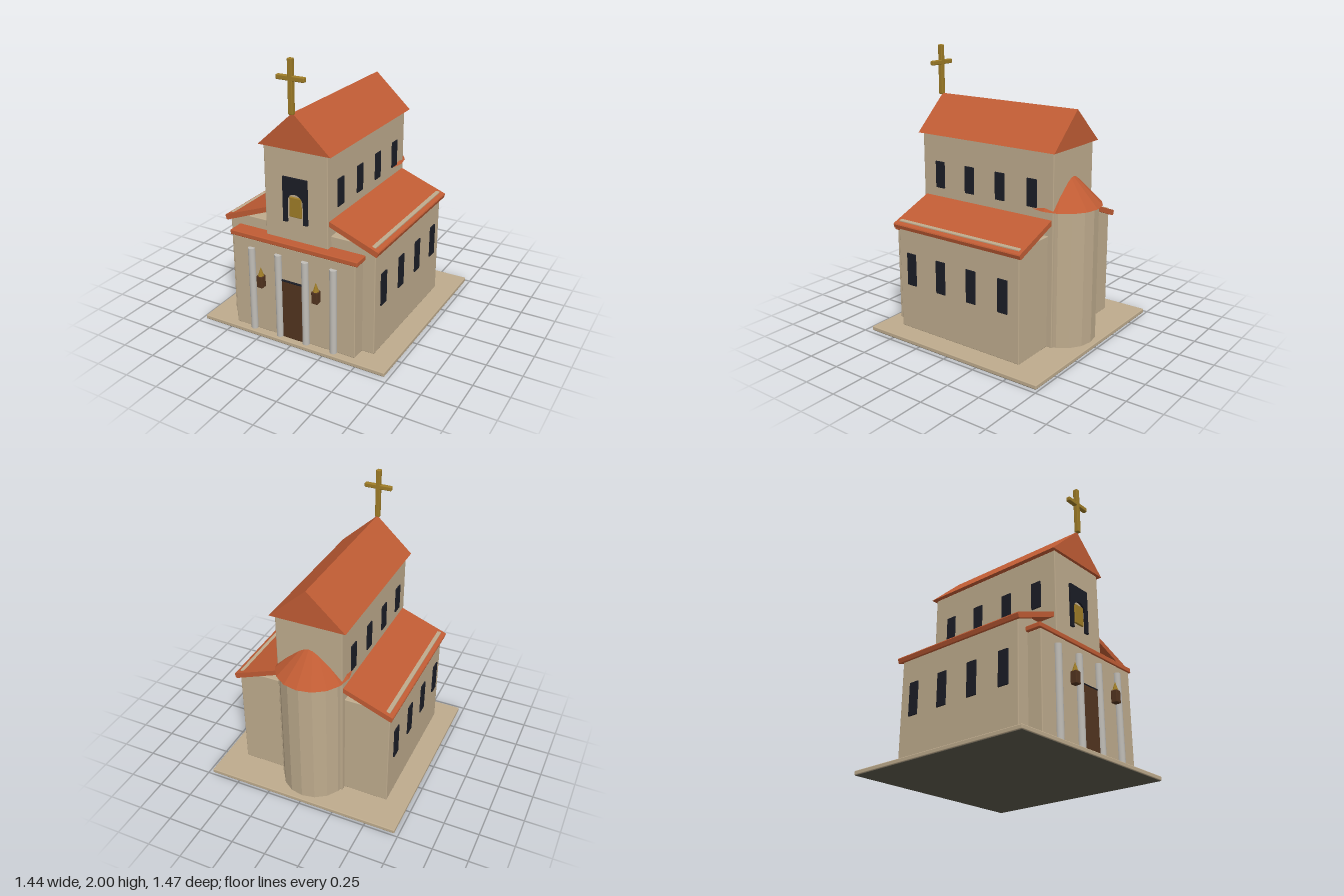
import * as THREE from 'three';
import { RoundedBoxGeometry } from 'three/addons/geometries/RoundedBoxGeometry.js';

const paint = (name, color) => {
  const m = new THREE.MeshStandardMaterial({ color });
  m.name = name;
  return m;
};

export function createModel() {
  const stone = paint('sandstone', 0xbeab8d);
  const shade = paint('darkEarth', 0x5a574a);
  const tile = paint('terracotta', 0xc05c34);
  const glass = paint('darkGlass', 0x1b1d26);
  const wood = paint('darkWood', 0x52341f);
  const gold = paint('oldGold', 0x9e7c27);
  const marble = paint('paleMarble', 0xc0bdb7);

  const model = new THREE.Group();
  model.name = 'church';

  const add = (name, geometry, material, x = 0, y = 0, z = 0) => {
    const mesh = new THREE.Mesh(geometry, material);
    mesh.name = name;
    mesh.position.set(x, y, z);
    model.add(mesh);
    return mesh;
  };
  // Softly bevelled box given by its extents on each axis
  const box = (name, material, x0, x1, y0, y1, z0, z1) => {
    const size = [x1 - x0, y1 - y0, z1 - z0];
    const radius = Math.min(0.006, 0.35 * Math.min(...size));
    return add(name, new RoundedBoxGeometry(...size, 2, radius), material,
      (x0 + x1) / 2, (y0 + y1) / 2, (z0 + z1) / 2);
  };
  // Outline in x and y, extruded from z0 to z1
  const prism = (name, material, points, z0, z1) => {
    const shape = new THREE.Shape(points.map(([x, y]) => new THREE.Vector2(x, y)));
    return add(name, new THREE.ExtrudeGeometry(shape, { depth: z1 - z0, bevelEnabled: false }),
      material, 0, 0, z0);
  };
  // Cylinder or cone, faceted when it has few sides
  const round = (name, material, rTop, rBottom, y0, y1, sides, x, z) => {
    let g = new THREE.CylinderGeometry(rTop, rBottom, y1 - y0, sides);
    if (sides <= 16) {
      g = g.toNonIndexed();
      g.computeVertexNormals();
    }
    return add(name, g, material, x, (y0 + y1) / 2, z);
  };

  // Ground slab with dark underside, and main volumes
  box('baseSlab', stone, -0.72, 0.72, 0.002, 0.032, -0.735, 0.705);
  add('baseUnderside', new THREE.BoxGeometry(1.43, 0.004, 1.43), shade, 0, 0.002, -0.015);
  box('aisleWalls', stone, -0.565, 0.565, 0.03, 0.832, -0.49, 0.547);
  box('naveWalls', stone, -0.24, 0.24, 0.03, 1.4, -0.53, 0.59);
  box('porchWalls', stone, -0.475, 0.475, 0.03, 0.72, 0.53, 0.652);

  // Roofs
  prism('naveRoof', tile, [[-0.272, 1.4], [0.272, 1.4], [0, 1.65]], -0.552, 0.608);
  for (const s of [-1, 1]) {
    prism('aisleRoof', tile,
      [[0.23, 0.949], [0.23, 0.912], [0.578, 0.774], [0.587, 0.776], [0.596, 0.803], [0.592, 0.811]]
        .map(([x, y]) => [s * x, y]),
      -0.517, 0.572);
  }
  box('porchRoof', tile, -0.493, 0.493, 0.72, 0.755, 0.54, 0.66);

  // Apse at the back with its conical roof
  round('apseWall', stone, 0.235, 0.235, 0.03, 1.0, 16, 0, -0.463);
  round('apseRoof', tile, 0, 0.261, 1.0, 1.265, 16, 0, -0.463);

  // Side windows, four per storey
  for (const s of [-1, 1]) {
    for (const z of [0.432, 0.167, -0.098, -0.363]) {
      const lower = box('aisleWindow', glass, -0.0049, 0.0049, 0.367, 0.605, z - 0.04, z + 0.04);
      lower.position.x = s * 0.572;
      const upper = box('naveWindow', glass, -0.0049, 0.0049, 1.012, 1.207, z - 0.04, z + 0.04);
      upper.position.x = s * 0.247;
    }
  }

  // Arched bell frame and bell panel on the front
  const frame = new THREE.Shape();
  frame.moveTo(-0.093, 0.89);
  frame.lineTo(-0.062, 0.89);
  frame.lineTo(-0.062, 1.033);
  frame.absarc(0, 1.033, 0.062, Math.PI, 0, true);
  frame.lineTo(0.062, 0.89);
  frame.lineTo(0.093, 0.89);
  frame.lineTo(0.093, 1.207);
  frame.lineTo(-0.093, 1.207);
  frame.closePath();
  add('bellFrame', new THREE.ExtrudeGeometry(frame, { depth: 0.018, bevelEnabled: false, curveSegments: 10 }),
    glass, 0, 0, 0.587);
  box('bellPanel', gold, -0.045, 0.045, 0.93, 1.072, 0.58, 0.602);

  // Entrance door with dark lintel
  box('door', wood, -0.08, 0.08, 0.032, 0.47, 0.65, 0.664);
  box('doorLintel', glass, -0.083, 0.083, 0.468, 0.478, 0.65, 0.666);

  // Porch columns
  for (const x of [-0.32, -0.106, 0.104, 0.318]) {
    round('porchColumn', marble, 0.025, 0.025, 0.03, 0.66, 20, x, 0.66);
  }

  // Hanging lanterns
  for (const x of [-0.216, 0.216]) {
    box('lanternBody', wood, x - 0.0235, x + 0.0235, 0.41, 0.497, 0.6855, 0.7325);
    round('lanternTop', gold, 0, 0.022, 0.495, 0.56, 8, x, 0.709);
  }

  // Cross on the front gable
  box('crossUpright', gold, -0.017, 0.017, 1.642, 2.0, 0.598, 0.632);
  box('crossBar', gold, -0.102, 0.102, 1.858, 1.89, 0.599, 0.631);

  return model;
}
